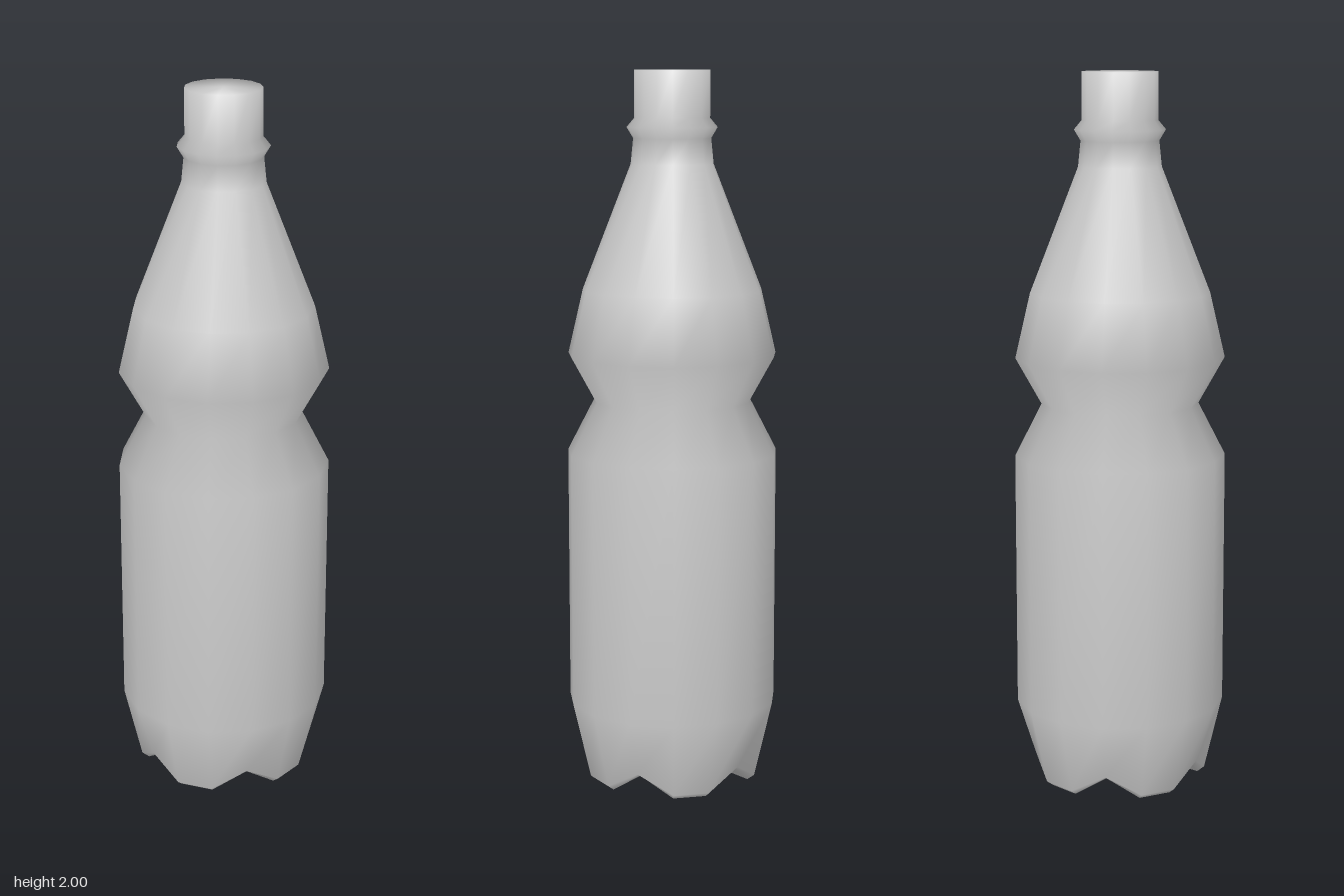
import * as THREE from 'three';

const SIDES = 15;

// Rings from the base to the top: [radius, height, height at the notches between feet]
const RINGS = [
  [0.225, 0.0, 0.06],   // inner rim of the feet
  [0.245, 0.015, 0.07], // outer rim of the feet
  [0.295, 0.23],        // lower body
  [0.295, 0.945],       // upper edge of the straight body
  [0.22, 1.09],         // grip groove
  [0.292, 1.22],        // shoulder bulge
  [0.25, 1.4],
  [0.115, 1.745],       // neck
  [0.108, 1.815],
  [0.126, 1.845],       // neck collar
  [0.105, 1.87],
  [0.105, 2.0],         // mouth
];

// One closed skin of shared vertices, so the whole bottle shades smoothly
function bottleGeometry() {
  const positions = [];
  const index = [];
  for (const [r, y, notchY = y] of RINGS) {
    for (let k = 0; k < SIDES; k++) {
      const a = (k / SIDES) * Math.PI * 2;
      // five feet: every third column is a raised notch
      positions.push(r * Math.cos(a), k % 3 === 1 ? notchY : y, r * Math.sin(a));
    }
  }
  const baseCentre = RINGS.length * SIDES;
  const topCentre = baseCentre + 1;
  positions.push(0, 0.067, 0, 0, 2, 0);

  const last = (RINGS.length - 1) * SIDES;
  for (let k = 0; k < SIDES; k++) {
    const n = (k + 1) % SIDES;
    // recessed base and closed top
    index.push(baseCentre, k, n, last + k, topCentre, last + n);
    // wall
    for (let row = 0; row < last; row += SIDES) {
      const up = row + SIDES;
      index.push(row + k, up + k, row + n, up + k, up + n, row + n);
    }
  }
  const geometry = new THREE.BufferGeometry();
  geometry.setAttribute('position', new THREE.Float32BufferAttribute(positions, 3));
  geometry.setIndex(index);
  geometry.computeVertexNormals();
  return geometry;
}

export function createModel() {
  const group = new THREE.Group();
  group.name = 'bottle';
  const body = new THREE.Mesh(
    bottleGeometry(),
    new THREE.MeshStandardMaterial({ color: 0xcccccc })
  );
  body.name = 'bottleBody';
  group.add(body);
  return group;
}
